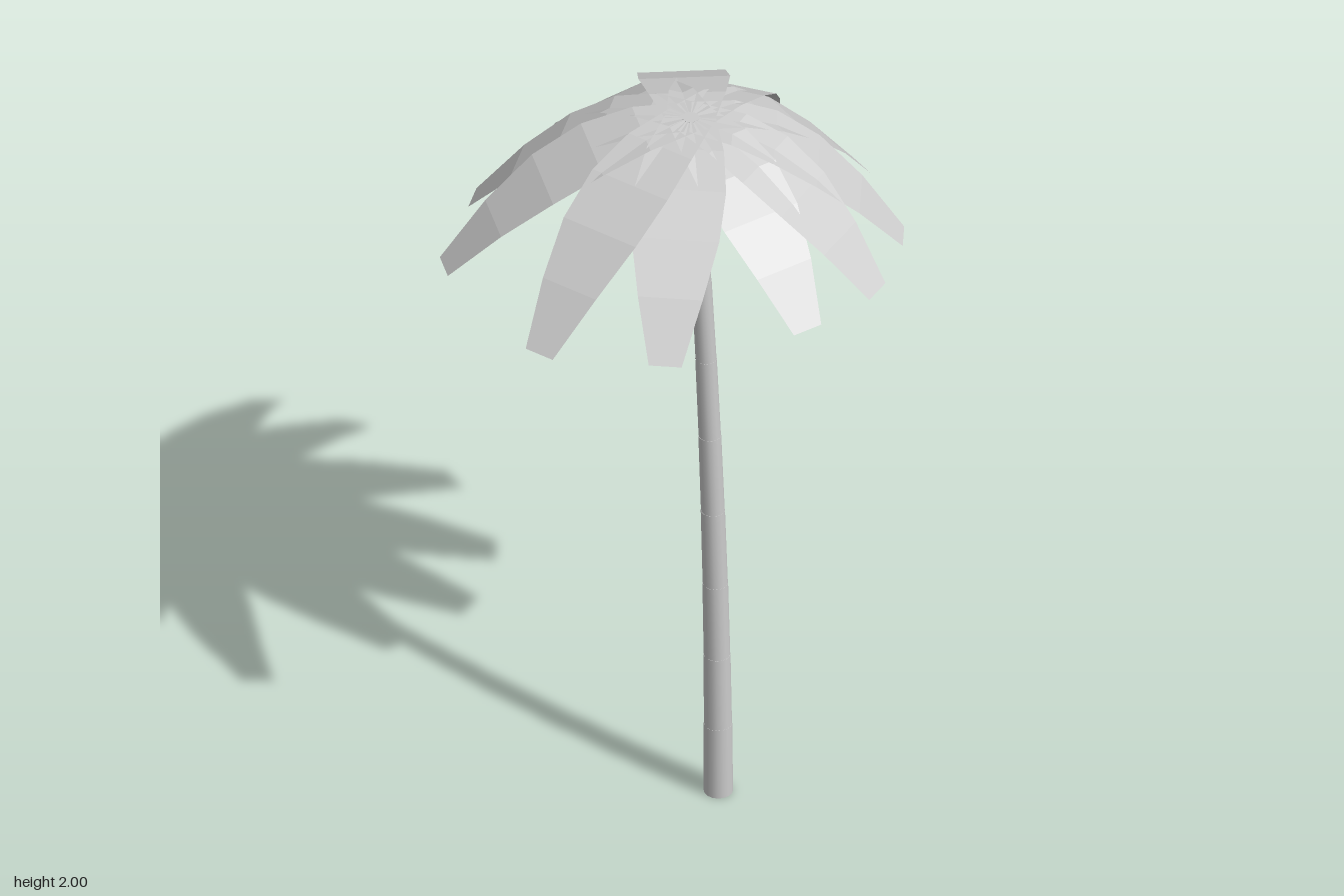
import * as THREE from 'three';

const TOP = 2, DROP = 0.38, SEGMENTS = 9;
const CROWN = { x: 0.01, z: -0.075 };
const BASE = { x: 0.32, z: 0.105 };

// Leaning trunk centre line: bends more towards the crown
function trunkCentre(y) {
  const k = (y / TOP) ** 2;
  return { x: BASE.x + (CROWN.x - BASE.x) * k, z: BASE.z + (CROWN.z - BASE.z) * k };
}

// One trunk section, sheared so that its ends follow the centre line
function trunkSection(i) {
  const h = TOP / SEGMENTS;
  const radius = (n) => 0.04 - 0.017 * (n / SEGMENTS);
  const geo = new THREE.CylinderGeometry(radius(i + 1) + 0.0007, radius(i), h, 16);
  geo.translate(0, h * (i + 0.5), 0);
  const p = geo.attributes.position;
  for (let v = 0; v < p.count; v++) {
    const c = trunkCentre(p.getY(v));
    p.setX(v, p.getX(v) + c.x);
    p.setZ(v, p.getZ(v) + c.z);
  }
  return geo;
}

// Drooping blade from the crown to its tip, five flat facets
const WIDTHS = [0.14, 0.21, 0.25, 0.24, 0.177, 0.09];
function leafBlade(tipX, tipZ) {
  const dx = tipX - CROWN.x, dz = tipZ - CROWN.z;
  const length = Math.hypot(dx, dz);
  const geo = new THREE.PlaneGeometry(1, 1, 1, 5).rotateX(-Math.PI / 2).toNonIndexed();
  const p = geo.attributes.position;
  for (let v = 0; v < p.count; v++) {
    const t = p.getZ(v) + 0.5;
    p.setXYZ(v, p.getX(v) * WIDTHS[Math.round(t * 5)], TOP - DROP * t * t, length * t);
  }
  geo.rotateY(Math.atan2(dx, dz)).translate(CROWN.x, 0, CROWN.z);
  geo.computeVertexNormals();
  return geo;
}

// Leaf tips on the ground plan: x, z
const TIPS = [
  [0.158, 0.615], [0.43, 0.4], [0.565, 0], [0.56, -0.26], [0.418, -0.485], [0.098, -0.623],
  [-0.273, -0.602], [-0.515, -0.495], [-0.58, -0.107], [-0.502, 0.26], [-0.317, 0.533],
];

export function createModel() {
  const model = new THREE.Group();
  model.name = 'palmTree';
  const grey = new THREE.MeshStandardMaterial({ color: 0xcccccc, side: THREE.DoubleSide });
  grey.name = 'lightGrey';

  const trunk = new THREE.Group();
  trunk.name = 'trunk';
  for (let i = 0; i < SEGMENTS; i++) {
    const section = new THREE.Mesh(trunkSection(i), grey);
    section.name = `trunkSection${i + 1}`;
    trunk.add(section);
  }

  const crown = new THREE.Group();
  crown.name = 'crown';
  TIPS.forEach(([x, z], i) => {
    const leaf = new THREE.Mesh(leafBlade(x, z), grey);
    leaf.name = `leaf${i + 1}`;
    crown.add(leaf);
  });

  model.add(trunk, crown);
  return model;
}
